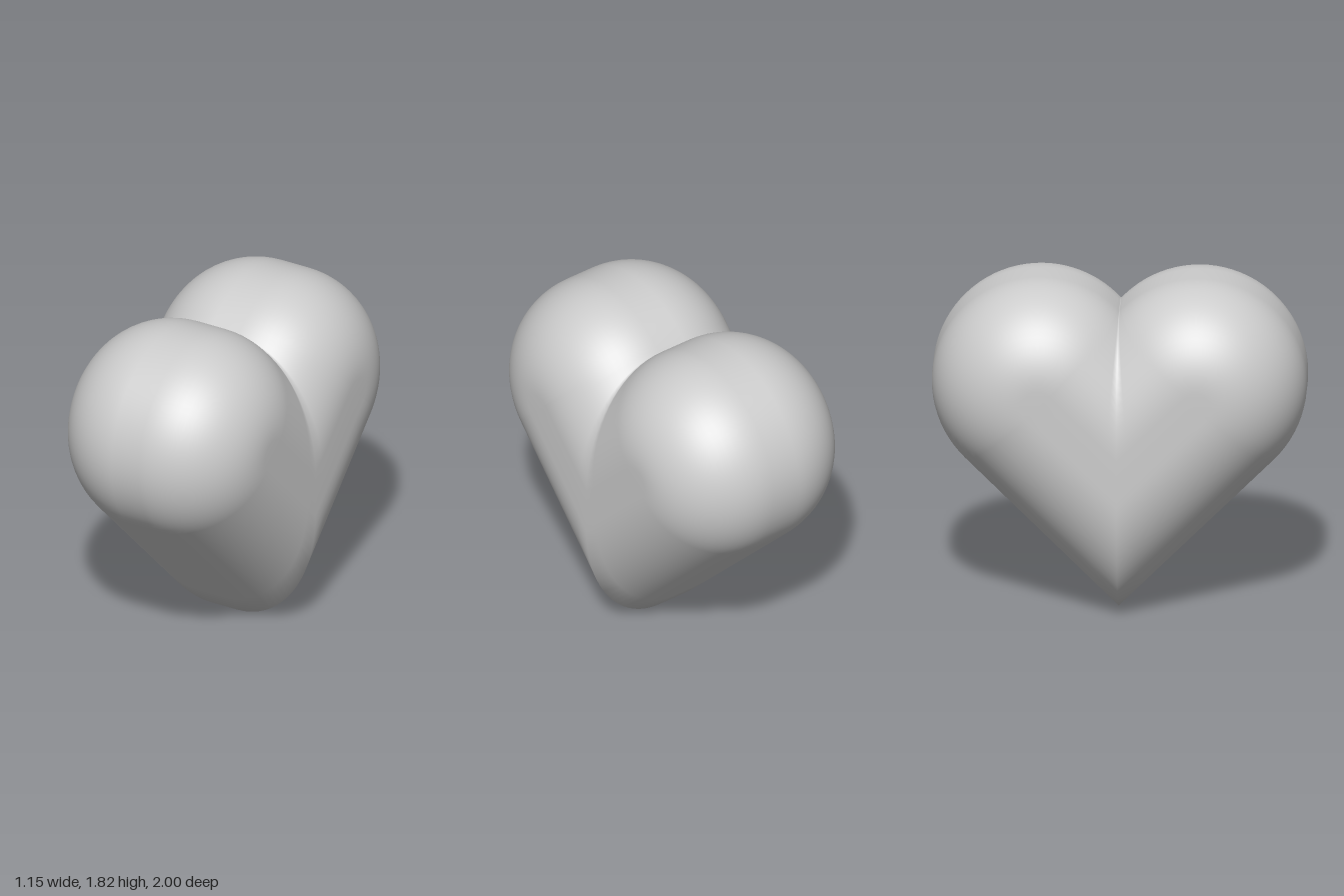
import * as THREE from 'three';
import { mergeGeometries, mergeVertices } from 'three/addons/utils/BufferGeometryUtils.js';

const R = 0.578;        // lobe radius
const T = 0.575;        // half thickness
const FILLET = 0.49;    // rounding of the section corners
const CZ = 0.422;       // lobe centre
const CY = CZ + Math.SQRT2 * R;
const U_END = (CY + CZ) / Math.SQRT2;  // distance of the lobe centre along the arm
const ARM_STEPS = 6, ARC_STEPS = 40, FILLET_STEPS = 18;

// Half section of the arm: radius from its axis, offset in x
function sectionProfile() {
  const upper = [[0, T]];
  for (let i = 0; i <= FILLET_STEPS; i++) {
    const a = (i / FILLET_STEPS) * Math.PI / 2;
    upper.push([R - FILLET + FILLET * Math.sin(a), T - FILLET + FILLET * Math.cos(a)]);
  }
  return upper.concat(upper.slice().reverse().map(([r, x]) => [r, -x]));
}

// One arm: runs at 45 degrees from the mitre plane z = 0 to a revolved round end
function armGeometry() {
  const profile = sectionProfile();
  const positions = [], index = [];
  const addColumn = (angle, along) => {
    for (const [r, x] of profile) {
      const v = R + r * Math.sin(angle);
      const end = U_END + r * Math.cos(angle);
      const u = v + (end - v) * along;
      positions.push(x, (u + v) * Math.SQRT1_2, (u - v) * Math.SQRT1_2);
    }
  };
  for (let i = 0; i < ARM_STEPS; i++) addColumn(-Math.PI / 2, i / ARM_STEPS);
  for (let i = 0; i <= ARC_STEPS; i++) addColumn((i / ARC_STEPS - 0.5) * Math.PI, 1);
  for (let i = ARM_STEPS - 1; i >= 0; i--) addColumn(Math.PI / 2, i / ARM_STEPS);

  const n = profile.length, columns = positions.length / 3 / n;
  for (let c = 0; c < columns - 1; c++) {
    for (let j = 0; j < n - 1; j++) {
      const a = c * n + j, b = a + n;
      index.push(a, b, a + 1, b, b + 1, a + 1);
    }
  }
  const geometry = new THREE.BufferGeometry();
  geometry.setAttribute('position', new THREE.Float32BufferAttribute(positions, 3));
  geometry.setIndex(index);
  return geometry;
}

export function createModel() {
  const group = new THREE.Group();
  group.name = 'heart';

  // Two mitred arms welded into one smooth body
  const front = armGeometry();
  const back = front.clone().rotateY(Math.PI);
  const geometry = mergeVertices(mergeGeometries([front, back]), 1e-4);
  geometry.computeVertexNormals();

  const body = new THREE.Mesh(geometry, new THREE.MeshStandardMaterial({ color: 0xcccccc }));
  body.name = 'heartBody';
  group.add(body);
  return group;
}
